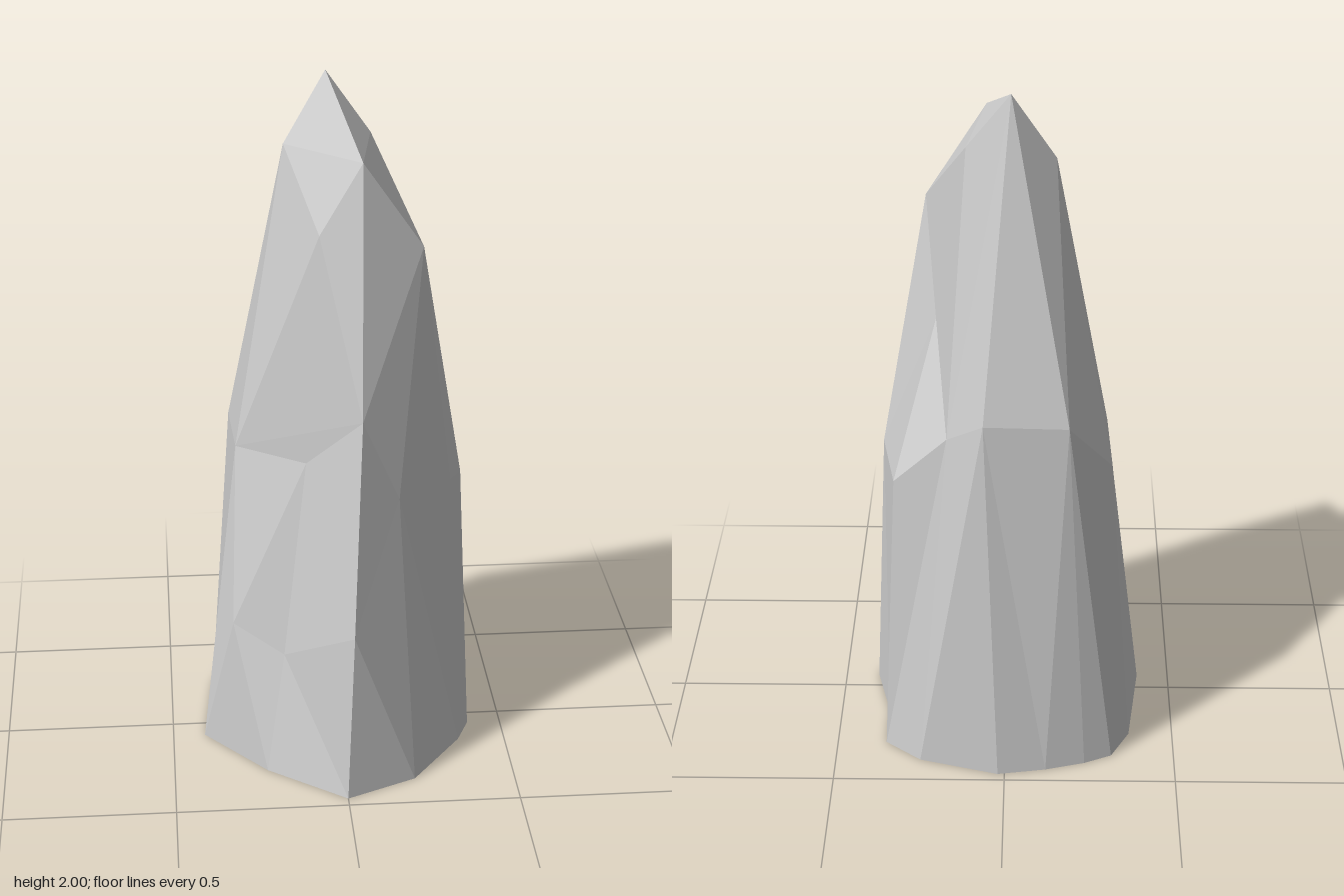
import * as THREE from 'three';

// Zips two rings running counter-clockwise (seen from above).
// Each step: L moves on along the lower ring, U along the upper ring.
function zip(lower, upper, steps, tris) {
  let i = 0, j = 0;
  const lo = (k) => lower[k % lower.length], up = (k) => upper[k % upper.length];
  for (const s of steps) {
    if (s === 'L') { tris.push(lo(i), lo(i + 1), up(j)); i++; }
    else { tris.push(lo(i), up(j + 1), up(j)); j++; }
  }
}

export function createModel() {
  // Foot of the rock, from the front ridge round to the model's left
  const foot = [
    [0, 0.465], [0.205, 0.37], [0.36, 0.155], [0.4, 0.06], [0.355, -0.14],
    [0.355, -0.31], [0.25, -0.4], [0.02, -0.47], [-0.12, -0.445], [-0.235, -0.41],
    [-0.315, -0.37], [-0.37, -0.255], [-0.405, 0.07], [-0.225, 0.29],
  ].map(([x, z]) => [x, 0, z]);

  // Shoulder facets
  const noseLow = [0.02, 0.51, 0.44], noseHigh = [0.05, 1.13, 0.33];
  const frontL = [0.16, 0.87, 0.28], sideL1 = [0.325, 0.85, 0.115], sideL2 = [0.365, 0.84, 0.035];
  const backL1 = [0.32, 0.86, -0.26], backL2 = [0.165, 1.02, -0.31], notch = [0.2, 1.29, -0.08];
  const back1 = [0.06, 1.11, -0.41], back2 = [-0.18, 1.1, -0.4];
  const backR = [-0.305, 0.92, -0.27], sideR = [-0.295, 0.93, 0.005];
  const lowR = [-0.315, 0.42, 0.145], frontLow = [-0.17, 0.36, 0.24], hollow = [-0.1, 0.95, 0.19];

  // Slanted tip
  const [t0, t1, t2, t3, t4, t5] = [
    [0.06, 1.84, 0.19], [0.235, 1.58, 0.145], [0.11, 1.83, -0.14],
    [-0.015, 2, -0.19], [-0.14, 1.8, -0.14], [-0.06, 1.63, 0.18],
  ];

  const tris = [];
  const back = [backL2, back1, back2, backR, sideR];
  // Lower walls
  zip(foot, [noseLow, frontL, sideL1, sideL2, backL1, ...back, lowR, frontLow],
    'LULULULULULULLULLULULULULU', tris);
  // Upper walls
  zip([noseHigh, frontL, sideL1, sideL2, notch, ...back], [t0, t1, t2, t3, t4, t5],
    'ULLLLULULLULLULU', tris);
  // Facets bridging the two bands
  tris.push(
    noseLow, frontL, noseHigh,
    sideL2, backL1, notch,
    backL1, backL2, notch,
    lowR, hollow, sideR,
    lowR, frontLow, hollow,
    frontLow, noseLow, noseHigh,
    frontLow, noseHigh, hollow,
    hollow, noseHigh, sideR,
  );
  // Tip faces
  tris.push(t0, t1, t2, t0, t2, t3, t0, t3, t4, t0, t4, t5);

  const geometry = new THREE.BufferGeometry();
  geometry.setAttribute('position', new THREE.Float32BufferAttribute(tris.flat(), 3));
  geometry.computeVertexNormals();

  // Open underneath, so both sides show
  const rock = new THREE.Mesh(geometry, new THREE.MeshStandardMaterial({
    color: 0xcccccc, flatShading: true, side: THREE.DoubleSide,
  }));
  rock.name = 'rockSpire';
  const group = new THREE.Group();
  group.name = 'rock';
  group.add(rock);
  return group;
}
